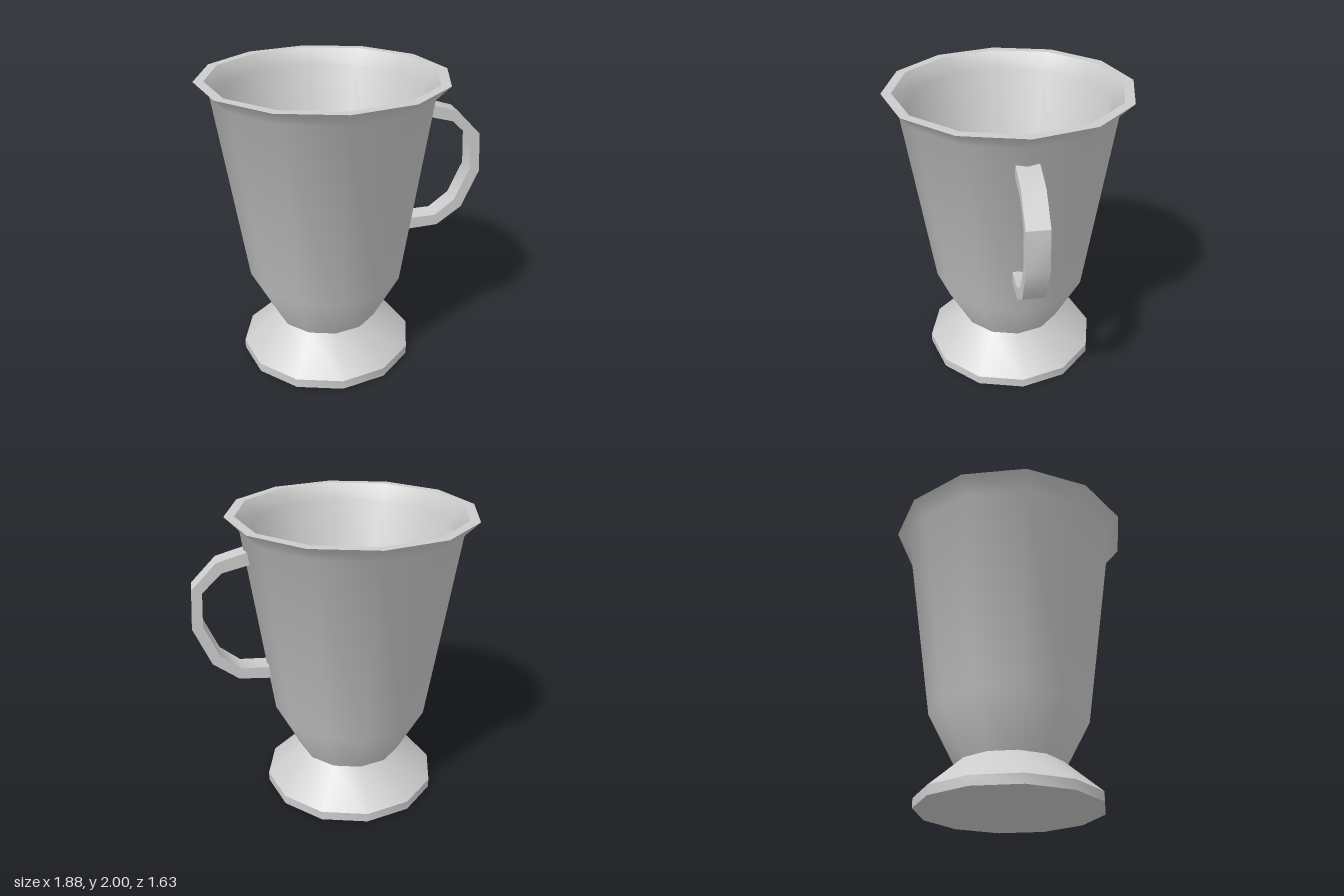
import * as THREE from 'three';
import { toCreasedNormals } from 'three/addons/utils/BufferGeometryUtils.js';

const SIDES = 12;
const AXIS_X = -0.125; // the cup sits off centre to balance the handle
const rad = THREE.MathUtils.degToRad;
const v2 = ([x, y]) => new THREE.Vector2(x, y);

export function createModel() {
  const group = new THREE.Group();
  group.name = 'mug';
  const grey = new THREE.MeshStandardMaterial({ color: 0xcccccc });
  grey.name = 'grey';

  const add = (name, geometry, crease, x = 0) => {
    const mesh = new THREE.Mesh(toCreasedNormals(geometry, rad(crease)), grey);
    mesh.name = name;
    mesh.position.x = x;
    group.add(mesh);
  };

  // Foot: underside, short rim and sloping top up to the waist
  const foot = [[0, 0], [0.605, 0], [0.605, 0.063], [0.357, 0.28]];
  add('foot', new THREE.LatheGeometry(foot.map(v2), SIDES), 45, AXIS_X);

  // Cup: outer wall, flared lip, inner wall and floor
  const cup = [
    [0.357, 0.28], [0.533, 0.615], [0.72, 1.905], [0.813, 2],
    [0.748, 2], [0.67, 1.9], [0.485, 0.63], [0.313, 0.32], [0, 0.32],
  ];
  add('cup', new THREE.LatheGeometry(cup.map(v2), SIDES), 45, AXIS_X);

  // Handle: flat angular band, outer edge then inner edge
  const handle = new THREE.Shape([
    [0.44, 0.89], [0.655, 0.905], [0.825, 1.03], [0.938, 1.29],
    [0.92, 1.56], [0.755, 1.73], [0.555, 1.788],
    [0.545, 1.705], [0.725, 1.66], [0.855, 1.535], [0.867, 1.305],
    [0.77, 1.085], [0.637, 0.98], [0.45, 0.972],
  ].map(v2));
  const band = new THREE.ExtrudeGeometry(handle, { depth: 0.144, bevelEnabled: false });
  band.translate(0, 0, -0.072);
  add('handle', band, 37);

  return group;
}
